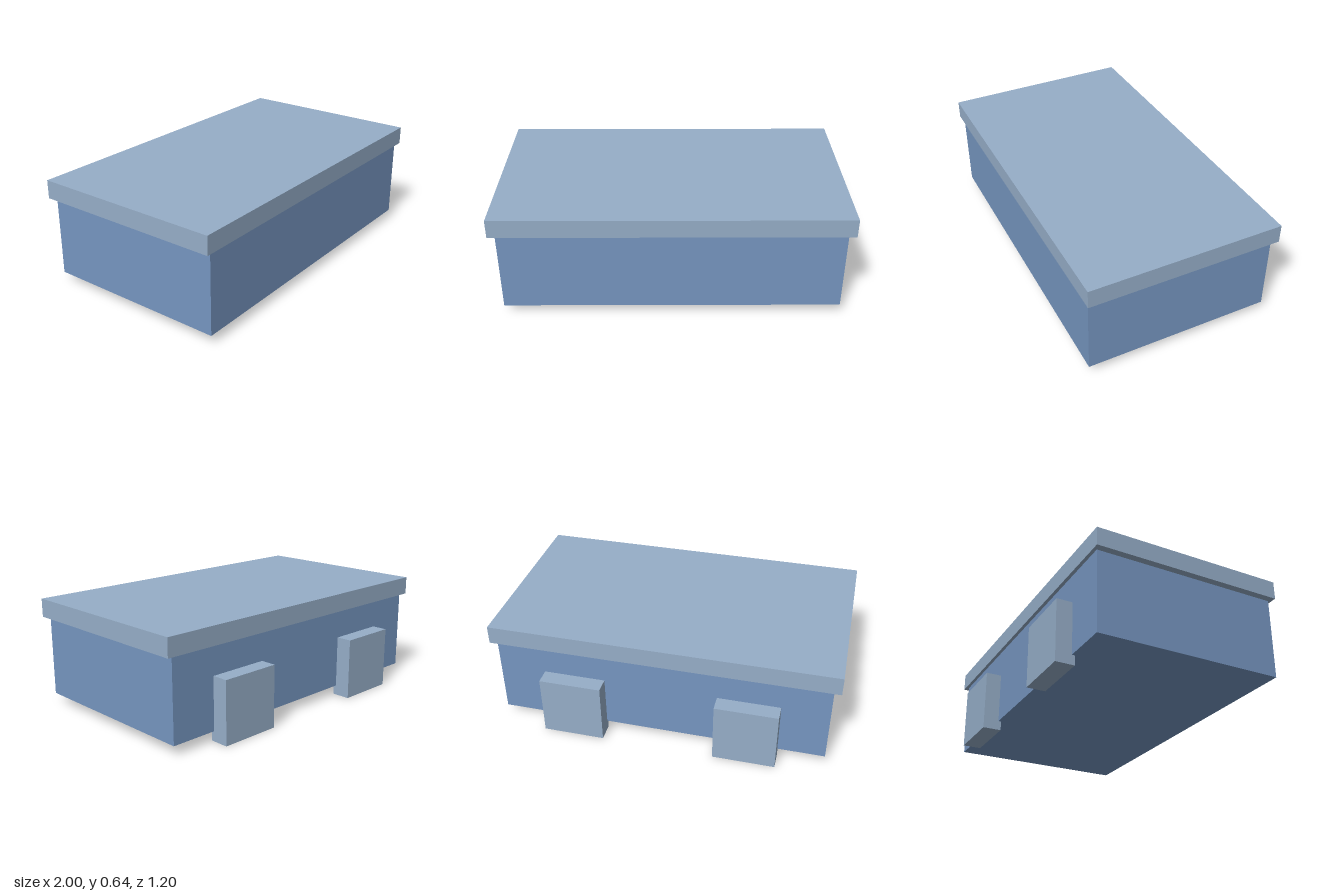
import * as THREE from 'three';

const material = (name, color) => {
  const m = new THREE.MeshStandardMaterial({ color });
  m.name = name;
  return m;
};

// Box given by its lower and upper extent on each axis
function block(name, mat, [x0, x1], [y0, y1], [z0, z1]) {
  const mesh = new THREE.Mesh(new THREE.BoxGeometry(x1 - x0, y1 - y0, z1 - z0), mat);
  mesh.position.set((x0 + x1) / 2, (y0 + y1) / 2, (z0 + z1) / 2);
  mesh.name = name;
  return mesh;
}

export function createModel() {
  const group = new THREE.Group();
  group.name = 'box';
  const blue = material('blue', 0x7696c0);
  const paleBlue = material('pale blue', 0x96aec8);

  // Body and overhanging lid
  group.add(block('body', blue, [-0.96, 0.96], [0.057, 0.53], [-0.507, 0.583]));
  group.add(block('lid', paleBlue, [-1, 1], [0.53, 0.637], [-0.527, 0.6]));

  // Two back brackets, reaching just below the body
  for (const [name, x] of [['rightBracket', -0.51], ['leftBracket', 0.506]]) {
    group.add(block(name, paleBlue, [x - 0.18, x + 0.18], [0, 0.363], [-0.6, -0.49]));
  }
  return group;
}
